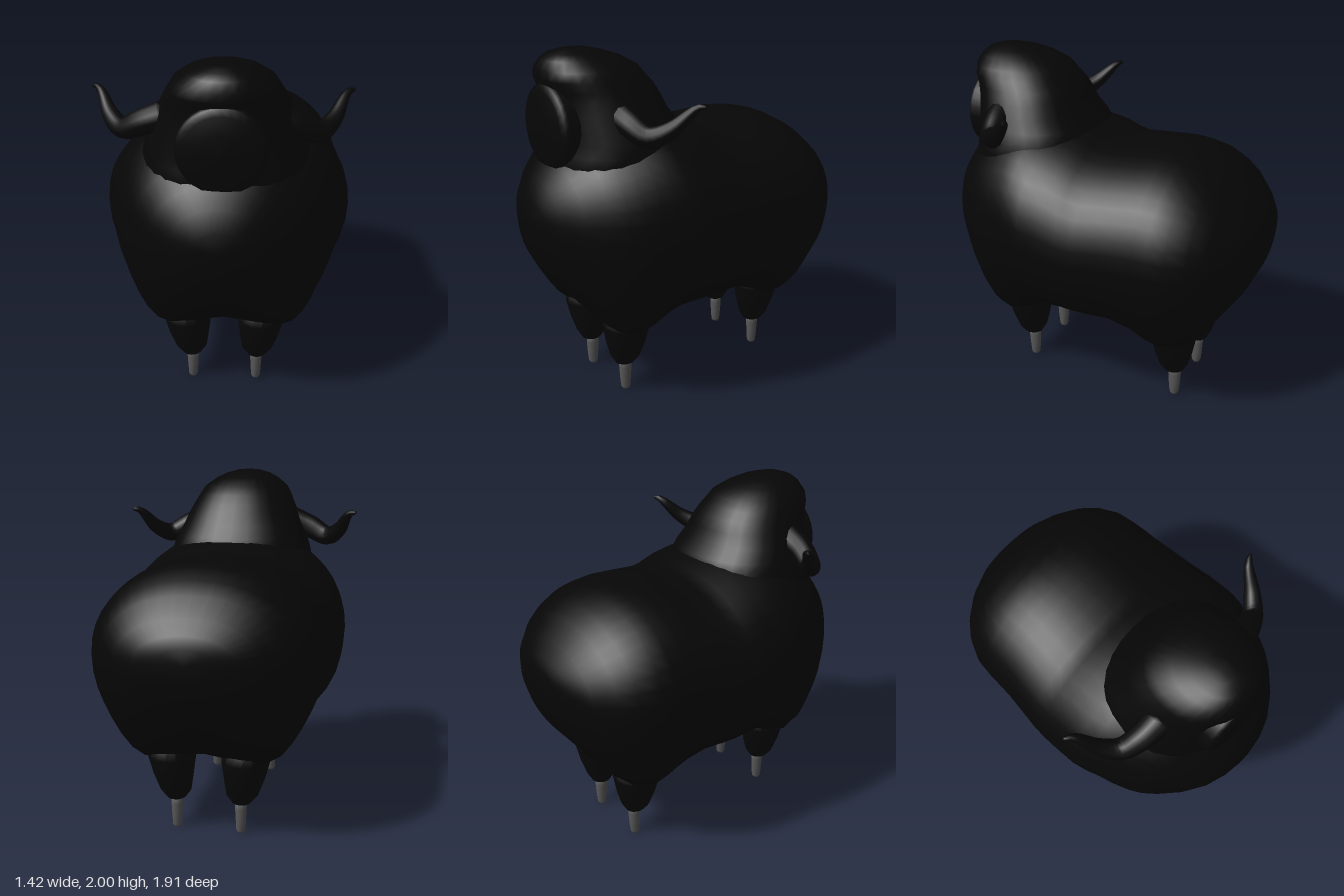
import * as THREE from 'three';

const wool = new THREE.MeshStandardMaterial({ color: 0x060606 });
const hoofMat = new THREE.MeshStandardMaterial({ color: 0x585858 });
const CX = 0.012; // body sits very slightly to its left

// Skin a list of rings (each counterclockwise about the direction of travel), closing both ends
function loft(rings) {
  const n = rings[0].length, pos = [], idx = [];
  rings.forEach(r => r.forEach(p => pos.push(p.x, p.y, p.z)));
  for (let i = 0; i < rings.length - 1; i++) {
    for (let j = 0; j < n; j++) {
      const k = (j + 1) % n;
      const a = i * n + j, b = i * n + k, c = b + n, d = a + n;
      idx.push(a, b, c, a, c, d);
    }
  }
  [0, rings.length - 1].forEach(i => {
    const centre = new THREE.Vector3();
    rings[i].forEach(p => centre.addScaledVector(p, 1 / n));
    const c = pos.length / 3;
    pos.push(centre.x, centre.y, centre.z);
    for (let j = 0; j < n; j++) {
      const a = i * n + j, b = i * n + (j + 1) % n;
      if (i === 0) idx.push(c, b, a); else idx.push(c, a, b);
    }
  });
  const g = new THREE.BufferGeometry();
  g.setAttribute('position', new THREE.Float32BufferAttribute(pos, 3));
  g.setIndex(idx);
  g.computeVertexNormals();
  return g;
}

// Points of a slightly squared oval, as unit pairs
function oval(n, power = 1) {
  const soft = v => Math.sign(v) * Math.abs(v) ** power;
  return Array.from({ length: n }, (_, j) => {
    const t = (j / n) * Math.PI * 2;
    return [soft(Math.cos(t)), soft(Math.sin(t))];
  });
}

// Upright section: [y, front z, back z, half width, centre x]
const flatRing = (n, power) => ([y, front, back, w, x = CX]) =>
  oval(n, power).map(([u, v]) => new THREE.Vector3(x + u * w, y, (front + back) / 2 - v * (front - back) / 2));

// Body section; the underside swells down over the tops of the four legs
function bodyRing([z, top, bottom, w]) {
  const mid = (top + bottom) / 2 + 0.01;
  return oval(40, 0.93).map(([u, v]) => {
    let x = u * w, y = mid + v * (v > 0 ? top - mid : mid - bottom);
    if (v < 0) {
      const dx = Math.abs(x) - 0.27, dz = Math.abs(z) - 0.5;
      const pull = Math.exp(-(dx * dx + dz * dz) / 0.04) * Math.min(1, -1.5 * v);
      y += (Math.min(y, 0.43) - y) * pull;
      x += Math.sign(x) * 0.04 * pull;
    }
    return new THREE.Vector3(CX + x, y, z);
  });
}

function add(parent, name, geometry, material = wool) {
  const mesh = new THREE.Mesh(geometry, material);
  mesh.name = name;
  parent.add(mesh);
  return mesh;
}

export function createModel() {
  const model = new THREE.Group();
  model.name = 'sheep';

  // Body sections from rump to chest, full at the shoulders: [z, top, bottom, half width]
  const sections = [
    [-0.955, 1.17, 0.99, 0.13], [-0.93, 1.23, 0.89, 0.28], [-0.87, 1.31, 0.76, 0.41],
    [-0.78, 1.41, 0.65, 0.52], [-0.7, 1.47, 0.57, 0.585], [-0.59, 1.525, 0.5, 0.635],
    [-0.5, 1.545, 0.49, 0.645], [-0.41, 1.555, 0.49, 0.65], [-0.32, 1.55, 0.49, 0.655],
    [-0.2, 1.54, 0.49, 0.67], [-0.08, 1.53, 0.48, 0.685], [0.01, 1.55, 0.475, 0.69],
    [0.1, 1.59, 0.475, 0.69], [0.25, 1.62, 0.49, 0.685], [0.34, 1.64, 0.5, 0.665],
    [0.42, 1.64, 0.5, 0.635], [0.5, 1.62, 0.5, 0.61], [0.58, 1.59, 0.51, 0.575],
    [0.65, 1.56, 0.55, 0.535], [0.72, 1.52, 0.61, 0.48], [0.82, 1.42, 0.72, 0.38],
    [0.9, 1.32, 0.84, 0.26], [0.94, 1.21, 0.97, 0.15], [0.955, 1.13, 1.06, 0.05],
  ];
  add(model, 'woollyBody', loft(sections.map(bodyRing)));

  // Neck and head wool, rising out of the shoulders
  const headRings = [
    [1.2, 0.78, 0.1, 0.36], [1.32, 0.8, 0.08, 0.41], [1.4, 0.825, 0.06, 0.44],
    [1.47, 0.805, 0.05, 0.445], [1.54, 0.8, 0.06, 0.43], [1.6, 0.8, 0.09, 0.405],
    [1.67, 0.8, 0.15, 0.375], [1.74, 0.805, 0.18, 0.345], [1.8, 0.82, 0.215, 0.315],
    [1.85, 0.843, 0.26, 0.29], [1.9, 0.845, 0.3, 0.26], [1.95, 0.82, 0.39, 0.195],
    [1.98, 0.785, 0.48, 0.135], [2.0, 0.72, 0.57, 0.06],
  ];
  add(model, 'woollyHead', loft(headRings.map(flatRing(28, 0.9))));

  // Round, gently domed face set under the brow
  const faceProfile = [[0.235, 0.7], [0.235, 0.81], [0.225, 0.83], [0.19, 0.845], [0.1, 0.86], [0, 0.866]];
  const faceShape = new THREE.LatheGeometry(faceProfile.map(([r, z]) => new THREE.Vector2(r, z)), 28);
  const face = add(model, 'face', faceShape.rotateX(Math.PI / 2));
  face.position.set(CX, 1.6, 0);

  for (const side of [-1, 1]) {
    const label = side > 0 ? 'left' : 'right';

    // Horn: sweeps out and down, then curls up and back
    const path = new THREE.CatmullRomCurve3([
      [0.27, 1.69, 0.55], [0.4, 1.645, 0.54], [0.51, 1.595, 0.5],
      [0.59, 1.64, 0.42], [0.64, 1.72, 0.34], [0.665, 1.75, 0.31], [0.7, 1.757, 0.29],
    ].map(([x, y, z]) => new THREE.Vector3(side * x - 0.012, y, z)));
    const steps = 20, frames = path.computeFrenetFrames(steps);
    const circle = oval(12);
    const hornRings = frames.tangents.map((_, i) => {
      const t = i / steps, r = 0.075 * (1 - t) ** 0.7 + 0.009;
      const c = path.getPointAt(t);
      return circle.map(([u, v]) => c.clone()
        .addScaledVector(frames.normals[i], u * r)
        .addScaledVector(frames.binormals[i], v * r));
    });
    add(model, label + 'Horn', loft(hornRings));

    for (const [end, z] of [['Front', 0.48], ['Back', -0.5]]) {
      const leg = new THREE.Group();
      leg.name = label + end + 'Leg';
      model.add(leg);

      // Tapered woolly leg: [y, half depth, half width, x]
      const legRings = [
        [0.175, 0.03, 0.03, 0.19], [0.19, 0.058, 0.055, 0.19], [0.235, 0.085, 0.09, 0.193],
        [0.33, 0.115, 0.115, 0.205], [0.44, 0.138, 0.138, 0.213], [0.56, 0.13, 0.13, 0.23],
      ].map(([y, d, w, x]) => [y, z + d, z - d, w, side * x + 0.004]);
      add(leg, 'woollyLeg', loft(legRings.map(flatRing(16))));

      // Bare foot
      const footRings = [
        [0.005, 0.02, 0.02], [0.02, 0.028, 0.027], [0.08, 0.034, 0.03],
        [0.15, 0.038, 0.034], [0.2, 0.038, 0.035],
      ].map(([y, d, w]) => [y, z - 0.005 + d, z - 0.005 - d, w, side * 0.187 + 0.004]);
      add(leg, 'foot', loft(footRings.map(flatRing(10))), hoofMat);
    }
  }
  return model;
}
